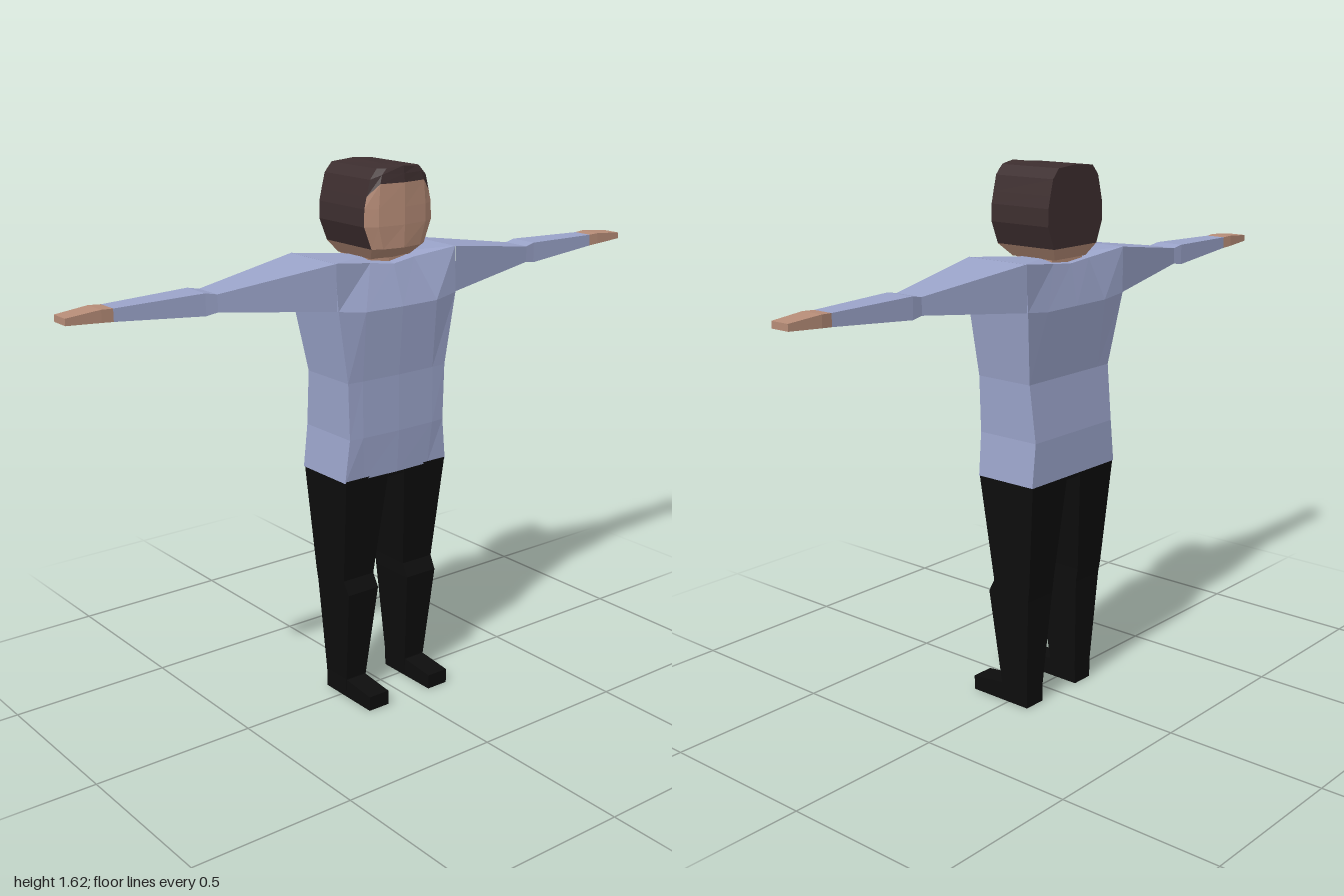
import * as THREE from 'three';

const material = (name, color) => {
  const m = new THREE.MeshStandardMaterial({ color, flatShading: true });
  m.name = name;
  return m;
};

// Faceted skin over rings of [x, y, z] points; keep(band, segment) selects faces
function loft(name, mat, rings, { keep = () => true, start = true, end = true } = {}) {
  const pos = [];
  const tri = (...pts) => pts.forEach((p) => pos.push(...p));
  const n = rings[0].length;
  for (let i = 0; i < rings.length - 1; i++) {
    for (let j = 0; j < n; j++) {
      if (!keep(i, j)) continue;
      const k = (j + 1) % n;
      const [a, b, c, d] = [rings[i][j], rings[i][k], rings[i + 1][k], rings[i + 1][j]];
      tri(a, b, c);
      tri(a, c, d);
    }
  }
  const cap = (ring, flip) => {
    const mid = [0, 1, 2].map((c) => ring.reduce((s, p) => s + p[c], 0) / n);
    ring.forEach((p, j) => {
      const q = ring[(j + 1) % n];
      if (flip) tri(mid, q, p);
      else tri(mid, p, q);
    });
  };
  if (start) cap(rings[0], true);
  if (end) cap(rings[rings.length - 1], false);
  const g = new THREE.BufferGeometry();
  g.setAttribute('position', new THREE.Float32BufferAttribute(pos, 3));
  g.computeVertexNormals();
  const mesh = new THREE.Mesh(g, mat);
  mesh.name = name;
  return mesh;
}

// Completes a half ring whose first and last points lie on x = 0
const symmetric = (half) => [
  ...half,
  ...half.slice(1, -1).reverse().map(([x, y, z]) => [-x, y, z]),
];

// Mirrors rings to the other side, keeping the faces outward
const mirror = (rings) => rings.map((r) => r.map(([x, y, z]) => [-x, y, z]).reverse());

// Rectangular rings along x (arms) and along y (legs)
const armRing = ([x, y0, y1, zb, zf]) => [[x, y0, zf], [x, y0, zb], [x, y1, zb], [x, y1, zf]];
const legRing = ([y, x0, x1, zb, zf]) => [[x0, y, zf], [x1, y, zf], [x1, y, zb], [x0, y, zb]];

export function createModel() {
  const model = new THREE.Group();
  model.name = 'person';
  const shirt = material('shirt blue', 0x9aa3c9);
  const skin = material('skin', 0xb68c77);
  const hair = material('hair brown', 0x3d2e2f);
  const black = material('trouser black', 0x0d0d0d);

  // Shirt body: y, front z, front corner x, side x, side front z, back z
  const torso = [
    [0.72, 0.08, 0.12, 0.19, 0.076, -0.13],
    [0.85, 0.089, 0.13, 0.175, 0.08, -0.13],
    [1.02, 0.088, 0.13, 0.18, 0.08, -0.112],
    [1.225, 0.105, 0.13, 0.215, 0.085, -0.137],
  ].map(([y, zf, xf, xs, zs, zb]) => {
    const ys = y > 1.2 ? y + 0.01 : y;
    return symmetric([
      [0, y, zf], [xf, y, zf - 0.004], [xs, ys, zs], [xs, ys, zb], [xf, y, zb], [0, y, zb],
    ]);
  });
  torso.push(symmetric([
    [0, 1.342, 0.062], [0.08, 1.352, 0.055], [0.22, 1.37, 0.075],
    [0.22, 1.37, -0.133], [0.08, 1.352, -0.115], [0, 1.345, -0.115],
  ]));
  model.add(loft('shirtBody', shirt, torso));

  // Trouser seat closing the gap between the legs
  const seat = new THREE.Mesh(new THREE.BoxGeometry(0.35, 0.03, 0.19), black);
  seat.name = 'trouserSeat';
  seat.position.set(0, 0.72, -0.026);
  model.add(seat);

  // Limbs
  const sleeve = [
    [0.217, 1.235, 1.37, -0.135, 0.08],
    [0.565, 1.272, 1.321, -0.075, 0.018],
    [0.6, 1.266, 1.328, -0.078, 0.014],
    [0.865, 1.287, 1.322, -0.064, 0],
  ].map(armRing);
  const hand = [
    [0.865, 1.287, 1.322, -0.064, 0],
    [0.9, 1.29, 1.324, -0.068, 0.002],
    [1, 1.296, 1.315, -0.06, 0],
  ].map(armRing);
  const leg = [
    [0, 0.08, 0.152, -0.075, 0.025],
    [0.06, 0.078, 0.153, -0.075, 0.025],
    [0.355, 0.057, 0.168, -0.094, 0.06],
    [0.395, 0.058, 0.17, -0.1, 0.038],
    [0.725, 0.03, 0.187, -0.129, 0.077],
  ].map(legRing);
  const foot = [
    [[0.08, 0, 0.14], [0.152, 0, 0.14], [0.152, 0, 0], [0.08, 0, 0]],
    [[0.08, 0.045, 0.14], [0.152, 0.045, 0.14], [0.152, 0.06, 0], [0.08, 0.06, 0]],
  ];
  for (const side of ['left', 'right']) {
    const place = side === 'left' ? (r) => r : mirror;
    model.add(
      loft(side + 'Sleeve', shirt, place(sleeve), { start: false }),
      loft(side + 'Hand', skin, place(hand)),
      loft(side + 'Leg', black, place(leg)),
      loft(side + 'Foot', black, place(foot)),
    );
  }

  // Neck
  const neck = [1.3, 1.38].map((y) => symmetric([
    [0, y, 0.04], [0.068, y, 0.03], [0.068, y, -0.1], [0, y, -0.1],
  ]));
  model.add(loft('neck', skin, neck));

  // Head: y, side x, front z, cheek z, back z, drop of the hairline at the temples
  const head = [
    [1.36, 0.07, 0.055, 0.045, -0.11, 0],
    [1.395, 0.095, 0.108, 0.08, -0.13, 0],
    [1.46, 0.121, 0.111, 0.08, -0.13, 0],
    [1.51, 0.12, 0.111, 0.08, -0.13, 0],
    [1.578, 0.112, 0.11, 0.08, -0.13, 0.034],
    [1.602, 0.1, 0.107, 0.08, -0.13, 0.012],
    [1.618, 0.075, 0.104, 0.078, -0.13, 0],
  ].map(([y, x, zf, zs, zb, drop]) => symmetric([
    [0, y + (y > 1.61 ? 0.006 : 0), zf], [x * 0.7, y, zf - 0.011], [x, y - drop, zs],
    [x, y - drop, zb], [0, y + (y > 1.61 ? 0.006 : 0), zb],
  ]));
  const isFace = (band, seg) => band === 0 || (band < 4 && (seg < 2 || seg > 5));
  model.add(
    loft('face', skin, head, { keep: isFace, end: false }),
    loft('hair', hair, head, { keep: (b, s) => !isFace(b, s), start: false }),
  );

  return model;
}
